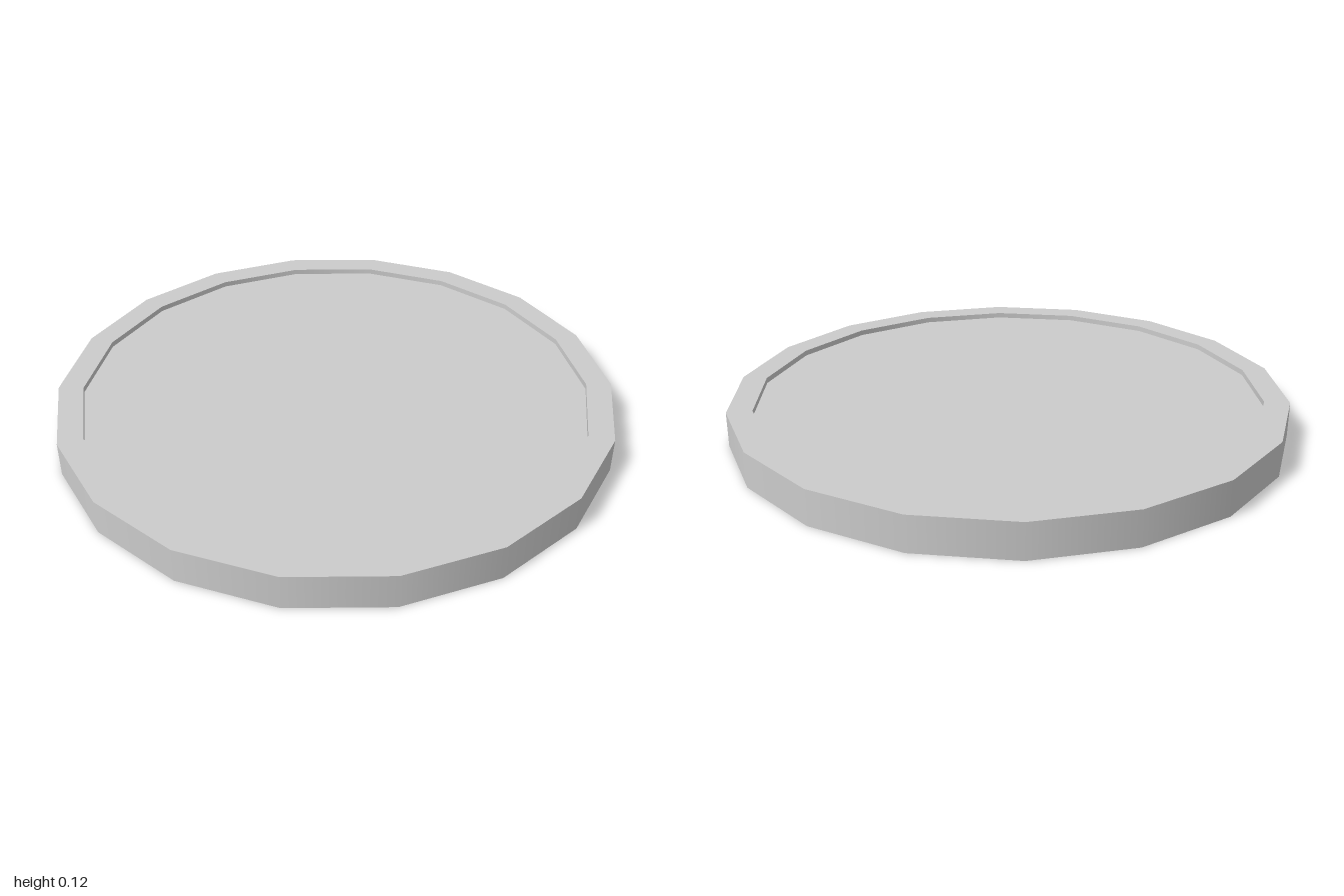
import * as THREE from 'three';
import { mergeGeometries } from 'three/addons/utils/BufferGeometryUtils.js';

const SIDES = 18;
const HEIGHT = 0.125;
const OUTER = 1;
const INNER = 0.91;
const RECESS = 0.02;

// Sweep each profile segment separately: smooth around, sharp at the rims.
function turned(name, profile, material) {
  const bands = [];
  for (let i = 0; i < profile.length - 1; i++) {
    const pair = [profile[i], profile[i + 1]].map(([r, y]) => new THREE.Vector2(r, y));
    bands.push(new THREE.LatheGeometry(pair, SIDES, Math.PI / 2));
  }
  const mesh = new THREE.Mesh(mergeGeometries(bands), material);
  mesh.name = name;
  return mesh;
}

// Flat disc facing up or down, with a corner on the x axis.
function disc(name, y, up, material) {
  const geometry = new THREE.CircleGeometry(INNER, SIDES);
  geometry.rotateX(up ? -Math.PI / 2 : Math.PI / 2);
  geometry.translate(0, y, 0);
  const mesh = new THREE.Mesh(geometry, material);
  mesh.name = name;
  return mesh;
}

export function createModel() {
  const group = new THREE.Group();
  group.name = 'roundTray';
  const grey = new THREE.MeshStandardMaterial({ color: 0xcccccc });

  // Raised rim: lower lip, underside, outer wall, top face, upper lip
  group.add(turned('rim', [
    [INNER, RECESS],
    [INNER, 0],
    [OUTER, 0],
    [OUTER, HEIGHT],
    [INNER, HEIGHT],
    [INNER, HEIGHT - RECESS],
  ], grey));

  // Recessed panels on both faces
  group.add(disc('topPanel', HEIGHT - RECESS, true, grey));
  group.add(disc('bottomPanel', RECESS, false, grey));
  return group;
}
